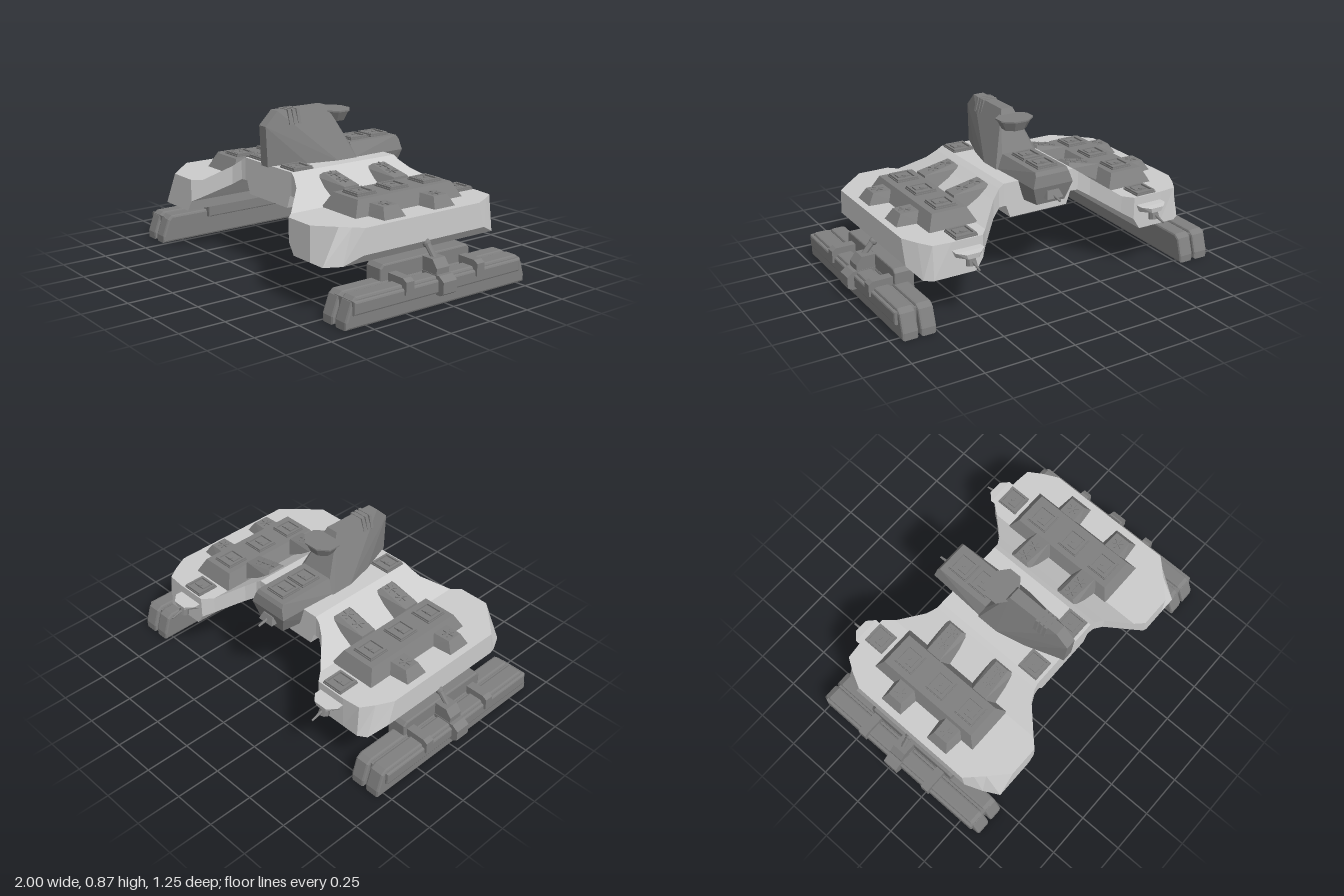
import * as THREE from 'three';
import { ConvexGeometry } from 'three/addons/geometries/ConvexGeometry.js';

const light = new THREE.MeshStandardMaterial({ color: 0xcccccc, flatShading: true });
const dark = new THREE.MeshStandardMaterial({ color: 0x808080, flatShading: true });

export function createModel() {
  const model = new THREE.Group();

  const add = (name, geo, mat = dark, parent = model) => {
    const m = new THREE.Mesh(geo, mat);
    m.name = name;
    parent.add(m);
    return m;
  };
  const box = (name, x, y, z, w, h, d, parent) => {
    const m = add(name, new THREE.BoxGeometry(w, h, d), dark, parent);
    m.position.set(x, y, z);
    return m;
  };
  // Convex solid from corner points; s mirrors it in x
  const solid = (name, pts, s = 1, mat = dark) =>
    add(name, new ConvexGeometry(pts.map(([x, y, z]) => new THREE.Vector3(x * s, y, z))), mat);
  // Points given for +x only are copied to -x
  const both = (pts) => pts.flatMap(([x, y, z]) => [[x, y, z], [-x, y, z]]);
  // Block between a lower and an upper rectangle [x0, x1, z0, z1]
  const corners = ([x0, x1, z0, z1], y) => [[x0, y, z0], [x1, y, z0], [x1, y, z1], [x0, y, z1]];
  const frustum = (name, low, y0, high, y1, s) => solid(name, [...corners(low, y0), ...corners(high, y1)], s);
  // Side profile of [z, y] points with softened corners, extruded across x
  const sideProfile = (name, pts, x0, x1, bevel, s) => {
    const shape = new THREE.Shape(pts.map(([z, y]) => new THREE.Vector2(z, y)));
    const geo = new THREE.ExtrudeGeometry(shape, {
      depth: x1 - x0 - 2 * bevel, bevelThickness: bevel, bevelSize: bevel, bevelOffset: -bevel, bevelSegments: 2,
    });
    geo.rotateY(-Math.PI / 2).translate(s > 0 ? x1 - bevel : -x0 - bevel, 0, 0);
    return add(name, geo);
  };
  const rod = (name, a, b, r0, r1, sides = 8) => {
    const p = new THREE.Vector3(...a), q = new THREE.Vector3(...b);
    const m = add(name, new THREE.CylinderGeometry(r1, r0, p.distanceTo(q), sides));
    m.position.copy(p).lerp(q, 0.5);
    m.quaternion.setFromUnitVectors(new THREE.Vector3(0, 1, 0), q.sub(p).normalize());
    return m;
  };

  // Hull: arched cross-sections [x, yTop, yBottom, zFrontTop, zFrontBottom, zBackTop, zBackBottom]
  const half = [
    [0.175, 0.58, 0.385, 0.41, 0.41, -0.27, -0.27],
    [0.2, 0.58, 0.455, 0.41, 0.41, -0.27, -0.27],
    [0.215, 0.58, 0.455, 0.41, 0.41, -0.27, -0.27],
    [0.245, 0.56, 0.455, 0.415, 0.415, -0.275, -0.275],
    [0.3, 0.52, 0.42, 0.44, 0.44, -0.31, -0.31],
    [0.42, 0.435, 0.34, 0.56, 0.56, -0.435, -0.435],
    [0.465, 0.435, 0.312, 0.605, 0.605, -0.49, -0.49],
    [0.505, 0.435, 0.25, 0.605, 0.605, -0.49, -0.49],
    [0.64, 0.435, 0.25, 0.605, 0.605, -0.49, -0.49],
    [0.74, 0.435, 0.25, 0.51, 0.605, -0.48, -0.49],
    [0.785, 0.435, 0.25, 0.465, 0.52, -0.41, -0.46],
    [0.83, 0.435, 0.3, 0.42, 0.43, -0.32, -0.36],
  ];
  const sections = [...half.map(([x, ...r]) => [-x, ...r]).reverse(), ...half];
  const pos = [], idx = [];
  sections.forEach(([x, t, b, ft, fb, bt, bb], i) => {
    pos.push(x, t, ft, x, t, bt, x, b, bb, x, b, fb);
    if (!i) return;
    for (let k = 0; k < 4; k++) {
      const a = (i - 1) * 4 + k, d = (i - 1) * 4 + ((k + 1) % 4);
      idx.push(a, a + 4, d + 4, a, d + 4, d);
    }
  });
  const e = (sections.length - 1) * 4;
  idx.push(0, 1, 2, 0, 2, 3, e, e + 2, e + 1, e, e + 3, e + 2);
  const hullGeo = new THREE.BufferGeometry();
  hullGeo.setAttribute('position', new THREE.Float32BufferAttribute(pos, 3));
  hullGeo.setIndex(idx);
  const hull = hullGeo.toNonIndexed();
  hull.computeVertexNormals();
  add('hull', hull, light);

  // Small square gun hatch: plinth, frame bars, cover and knob
  const hatch = (x, y, z) => {
    const g = new THREE.Group();
    g.name = 'hatch';
    g.position.set(x, y, z);
    box('hatchBase', 0, 0.002, 0, 0.124, 0.01, 0.124, g);
    for (const s of [-1, 1]) {
      box('hatchRail', s * 0.052, 0.01, 0, 0.012, 0.012, 0.116, g);
      box('hatchSill', 0, 0.01, s * 0.052, 0.092, 0.012, 0.012, g);
    }
    box('hatchCover', 0, 0.01, 0.012, 0.07, 0.008, 0.05, g);
    const knob = add('hatchKnob', new THREE.CylinderGeometry(0.012, 0.012, 0.014, 8), dark, g);
    knob.position.set(0, 0.012, -0.005);
    model.add(g);
  };
  // Star-shaped launcher cover
  const star = (x, y, z, tilt = 0) => {
    const g = new THREE.Group();
    g.name = 'launcherCover';
    g.position.set(x, y, z);
    g.rotation.z = tilt;
    for (let i = 0; i < 3; i++)
      box('coverRib', 0, 0, 0, 0.065, 0.008, 0.007, g).rotation.y = (i * Math.PI) / 3;
    model.add(g);
  };

  // Central tower with vents
  solid('tower', both([
    [0.03, 0.575, 0.43], [0.03, 0.79, 0.44], [0.03, 0.865, 0.365], [0.035, 0.865, 0.055],
    [0.105, 0.575, 0.22], [0.145, 0.575, 0.05], [0.145, 0.575, -0.07], [0.12, 0.575, -0.095],
  ]));
  for (const z of [0.245, 0.272, 0.3])
    solid('towerVent', both([[0.042, 0.868, z - 0.009], [0.042, 0.868, z + 0.009],
      [0.062, 0.79, z - 0.009], [0.062, 0.79, z + 0.009]]));

  // Flared lookout behind the tower top
  const cup = add('lookoutCup', new THREE.CylinderGeometry(0.1, 0.07, 0.055, 8).rotateY(Math.PI / 8));
  cup.position.set(0, 0.802, -0.02);
  cup.scale.z = 0.83;
  const rim = add('lookoutRim', new THREE.CylinderGeometry(0.106, 0.106, 0.008, 8).rotateY(Math.PI / 8));
  rim.position.set(0, 0.831, -0.02);
  rim.scale.z = 0.83;

  // Rear pod with tail gun
  solid('rearPod', both([
    [0.095, 0.655, -0.06], [0.095, 0.655, -0.385], [0.135, 0.58, -0.06], [0.12, 0.575, -0.41],
    [0.1, 0.635, -0.4], [0.095, 0.46, -0.2], [0.085, 0.475, -0.385],
  ]));
  for (const z of [-0.155, -0.295]) hatch(0, 0.655, z);
  frustum('tailGunMount', [-0.05, 0.05, -0.43, -0.36], 0.51, [-0.035, 0.035, -0.41, -0.36], 0.55);
  rod('tailGun', [0, 0.525, -0.41], [0, 0.51, -0.475], 0.009, 0.006);

  for (const s of [1, -1]) {
    // Wing platform and hatches
    frustum('weaponPlatform', [0.405, 0.685, -0.34, 0.365], 0.43, [0.45, 0.645, -0.295, 0.32], 0.515, s);
    for (const z of [-0.2, 0.02, 0.23]) hatch(s * 0.545, 0.515, z);
    hatch(s * 0.55, 0.436, -0.42);
    hatch(s * 0.15, 0.58, 0.33);

    // Launcher blocks on both flanks of the platform
    for (const z of [-0.12, 0.205]) {
      const ends = (x, y, d) => [[x, y, z - d], [x, y, z + d]];
      solid('outerLauncher', [...ends(0.64, 0.43, 0.085), ...ends(0.795, 0.43, 0.07),
        ...ends(0.64, 0.492, 0.05), ...ends(0.755, 0.492, 0.045)], s);
      solid('innerLauncher', [...ends(0.245, 0.545, 0.07), ...ends(0.46, 0.43, 0.085),
        ...ends(0.265, 0.567, 0.04), ...ends(0.45, 0.528, 0.045)], s);
      star(s * 0.71, 0.494, z);
      for (const x of [0.3, 0.375]) star(s * x, 0.567 - (x - 0.265) * 0.21 + 0.002, z, -s * 0.21);
    }

    // Tail turret on each wing
    solid('tailTurret', [[0.48, 0.39, -0.48], [0.64, 0.39, -0.48], [0.48, 0.39, -0.53], [0.64, 0.39, -0.53],
      [0.52, 0.387, -0.57], [0.6, 0.387, -0.57], [0.53, 0.36, -0.565], [0.59, 0.36, -0.565],
      [0.5, 0.345, -0.48], [0.62, 0.345, -0.48]], s, light);
    rod('tailTurretMount', [s * 0.56, 0.37, -0.53], [s * 0.56, 0.315, -0.545], 0.022, 0.03);
    rod('tailTurretGun', [s * 0.56, 0.342, -0.55], [s * 0.56, 0.32, -0.625], 0.009, 0.005);

    // Twin landing rails joined by long strips
    const rail = [[0.625, 0], [0.625, 0.04], [0.59, 0.135], [0.565, 0.155], [-0.485, 0.155],
      [-0.515, 0.135], [-0.545, 0.04], [-0.545, 0]];
    sideProfile('innerRail', rail, 0.76, 0.845, 0.012, s);
    sideProfile('outerRail', rail, 0.858, 0.946, 0.012, s);
    sideProfile('railStrip', [[0.588, 0.07], [0.588, 0.14], [-0.495, 0.14], [-0.495, 0.07]], 0.8, 0.963, 0.01, s);
    sideProfile('railSpine', [[0.335, 0.115], [0.335, 0.215], [0.315, 0.235], [-0.23, 0.235],
      [-0.25, 0.215], [-0.25, 0.115]], 0.73, 0.84, 0.008, s);

    // Clamps and the strut up to the hull
    for (const z of [0.262, -0.202])
      solid('railClamp', [z - 0.025, z + 0.025].flatMap((q) => [[0.8, 0.11, q], [0.975, 0.11, q],
        [0.975, 0.175, q], [0.95, 0.19, q], [0.8, 0.19, q]]), s);
    solid('mainClamp', [-0.018, 0.07].flatMap((q) => [[0.8, 0.06, q], [0.975, 0.06, q], [1, 0.075, q],
      [1, 0.135, q], [0.965, 0.16, q], [0.8, 0.16, q]]), s);
    solid('mainClampTop', [-0.015, 0.067].flatMap((q) => [[0.8, 0.15, q], [0.945, 0.15, q],
      [0.945, 0.19, q], [0.912, 0.232, q], [0.8, 0.232, q]]), s);
    rod('strut', [s * 0.89, 0.215, 0.028], [s * 0.8, 0.32, 0.028], 0.014, 0.018);
    const joint = add('strutJoint', new THREE.SphereGeometry(0.022, 10, 8));
    joint.position.set(s * 0.826, 0.285, 0.028);
  }
  return model;
}
